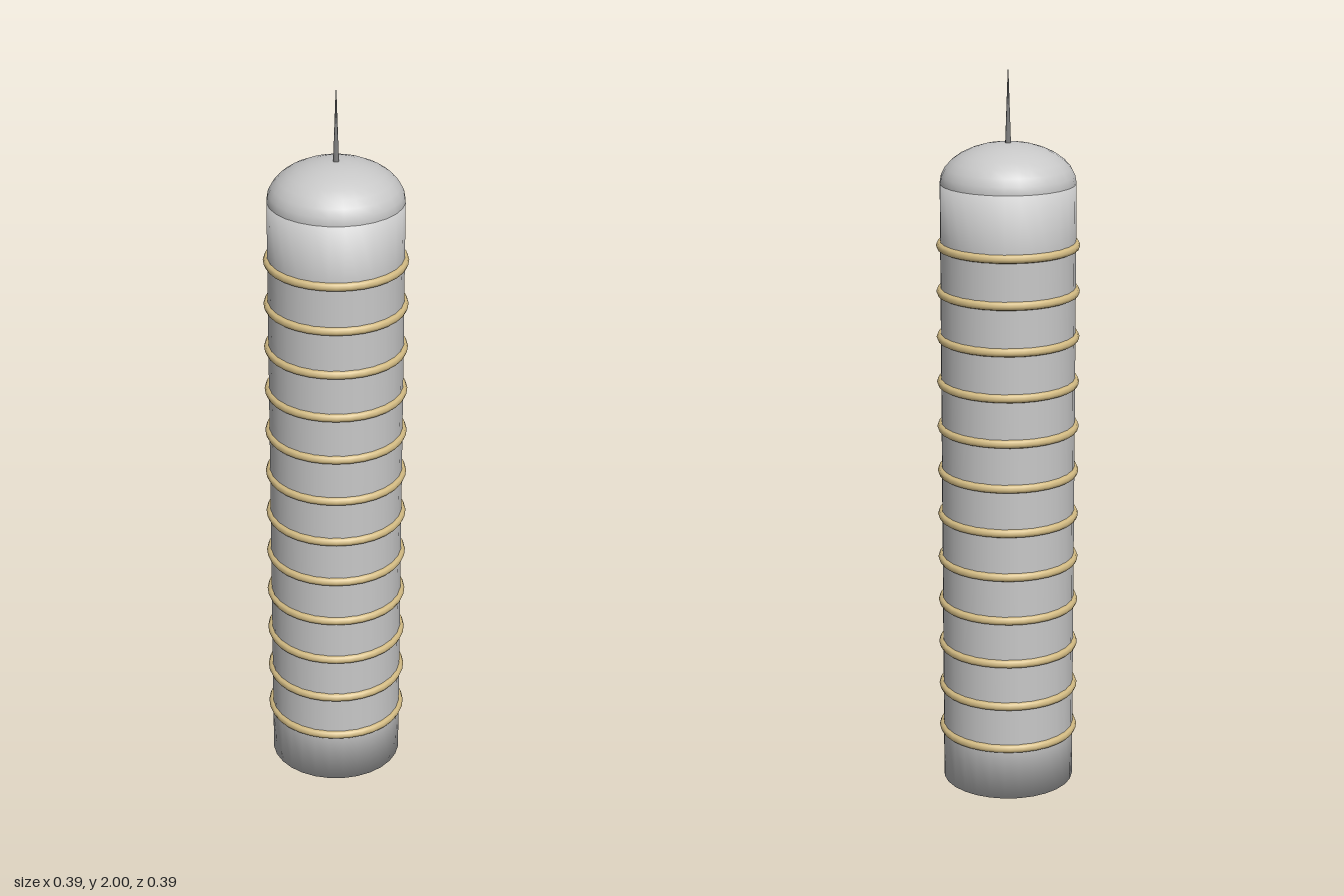
import * as THREE from 'three';

const RADIUS = 0.182;
const BODY_TOP = 1.7;
const DOME_HEIGHT = 0.108;
const RING_COUNT = 12;
const FIRST_RING = 0.15;
const RING_STEP = 0.1257;

export function createModel() {
  const model = new THREE.Group();
  model.name = 'roundTower';

  const wall = new THREE.MeshStandardMaterial({ name: 'light grey', color: 0xc8c8c8 });
  const trim = new THREE.MeshStandardMaterial({ name: 'sand', color: 0xd4bc84 });
  const metal = new THREE.MeshStandardMaterial({ name: 'dark grey', color: 0x808080 });

  const add = (name, geometry, material, y = 0, parent = model) => {
    const mesh = new THREE.Mesh(geometry, material);
    mesh.name = name;
    mesh.position.y = y;
    parent.add(mesh);
    return mesh;
  };

  // Closed cylindrical shaft with softly shaded ends
  const profile = [
    [0, 0], [RADIUS, 0], [RADIUS, FIRST_RING],
    [RADIUS, FIRST_RING + RING_STEP * (RING_COUNT - 1)],
    [RADIUS, BODY_TOP], [0, BODY_TOP],
  ].map(([x, y]) => new THREE.Vector2(x, y));
  add('shaft', new THREE.LatheGeometry(profile, 28), wall);

  // Flattened dome roof
  const dome = new THREE.SphereGeometry(RADIUS, 28, 8, 0, Math.PI * 2, 0, Math.PI / 2);
  dome.scale(1, DOME_HEIGHT / RADIUS, 1);
  add('domeRoof', dome, wall, BODY_TOP);

  // Evenly spaced floor rings
  const rings = new THREE.Group();
  rings.name = 'floorRings';
  model.add(rings);
  const ring = new THREE.TorusGeometry(0.181, 0.012, 8, 32);
  ring.rotateX(Math.PI / 2);
  for (let i = 0; i < RING_COUNT; i++) {
    add(`floorRing${i + 1}`, ring, trim, FIRST_RING + i * RING_STEP, rings);
  }

  // Tapered mast on the roof
  const mastBase = BODY_TOP + DOME_HEIGHT - 0.008;
  const mastHeight = 2 - mastBase;
  add('mast', new THREE.CylinderGeometry(0.001, 0.008, mastHeight, 8), metal, mastBase + mastHeight / 2);

  return model;
}
